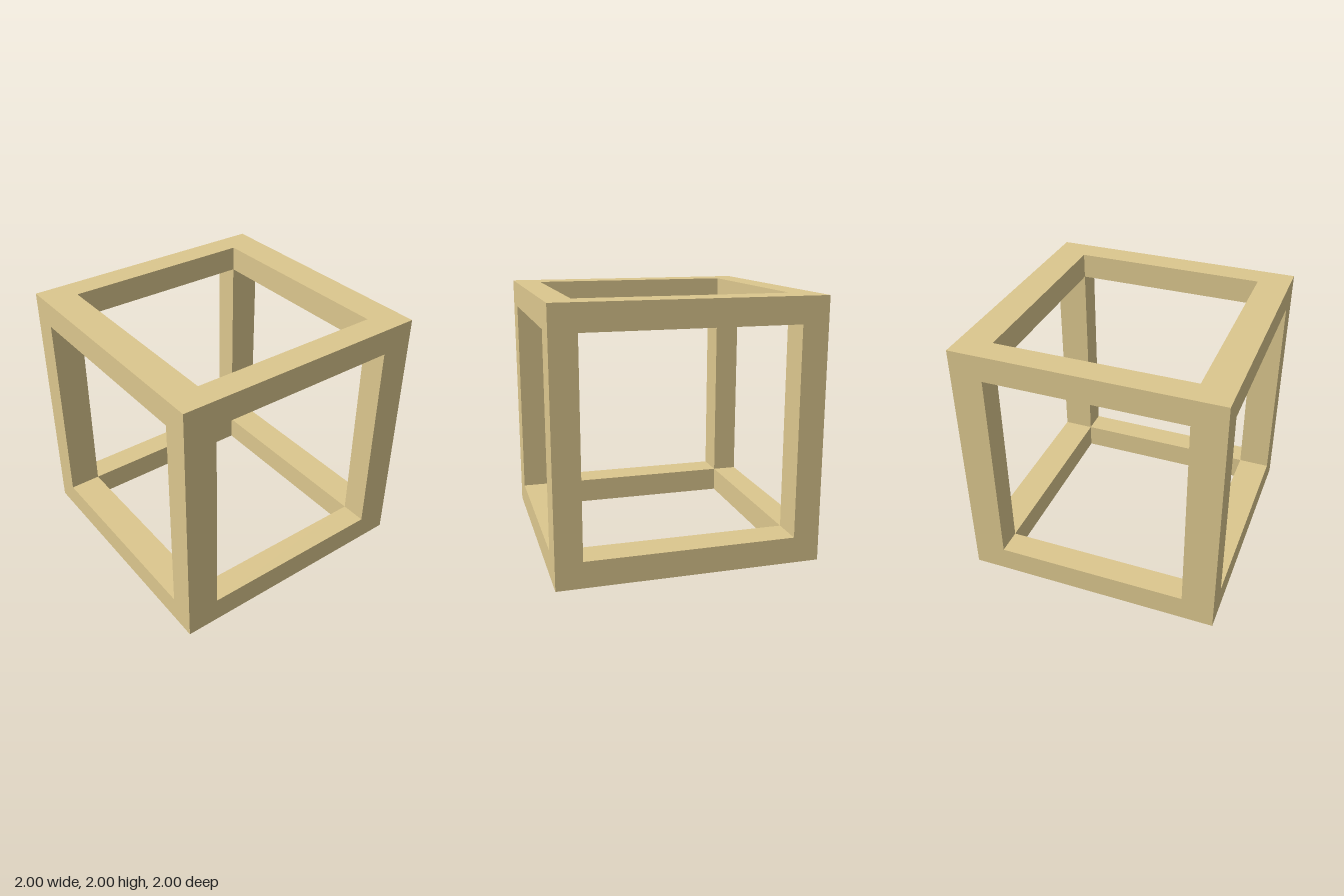
import * as THREE from 'three';
import { mergeGeometries } from 'three/addons/utils/BufferGeometryUtils.js';

// Inner half sizes of the cube frame (outer half size is 1)
const INNER = { x: 0.8, y: 0.8, z: 0.75 };

// One open side facing +z: a flat square ring plus the four walls of its opening
function openSide(a, b, depth) {
  const ring = new THREE.Shape([[-1, -1], [1, -1], [1, 1], [-1, 1]].map(p => new THREE.Vector2(...p)));
  ring.holes.push(new THREE.Path([[-a, -b], [-a, b], [a, b], [a, -b]].map(p => new THREE.Vector2(...p))));
  const z = 1 - depth / 2;
  const parts = [new THREE.ShapeGeometry(ring).translate(0, 0, 1)];
  for (const turn of [0, Math.PI]) {
    parts.push(
      new THREE.PlaneGeometry(2 * a, depth).rotateX(-Math.PI / 2).translate(0, -b, z).rotateZ(turn),
      new THREE.PlaneGeometry(depth, 2 * b).rotateY(-Math.PI / 2).translate(a, 0, z).rotateZ(turn)
    );
  }
  return mergeGeometries(parts);
}

export function createModel() {
  const group = new THREE.Group();
  group.name = 'cubeFrame';
  const material = new THREE.MeshStandardMaterial({ color: 0xdcc78e });
  const { x, y, z } = INNER;
  const q = Math.PI / 2;

  // Six sides: name, opening half width and half height, bar depth, rotation
  const sides = [
    ['frontFrame', x, y, 1 - z, 0, 0],
    ['backFrame', x, y, 1 - z, 0, Math.PI],
    ['leftFrame', z, y, 1 - x, 0, q],
    ['rightFrame', z, y, 1 - x, 0, -q],
    ['topFrame', x, z, 1 - y, -q, 0],
    ['bottomFrame', x, z, 1 - y, q, 0]
  ];
  for (const [name, a, b, depth, rx, ry] of sides) {
    const mesh = new THREE.Mesh(openSide(a, b, depth).rotateX(rx).rotateY(ry), material);
    mesh.name = name;
    mesh.position.y = 1;
    group.add(mesh);
  }
  return group;
}
